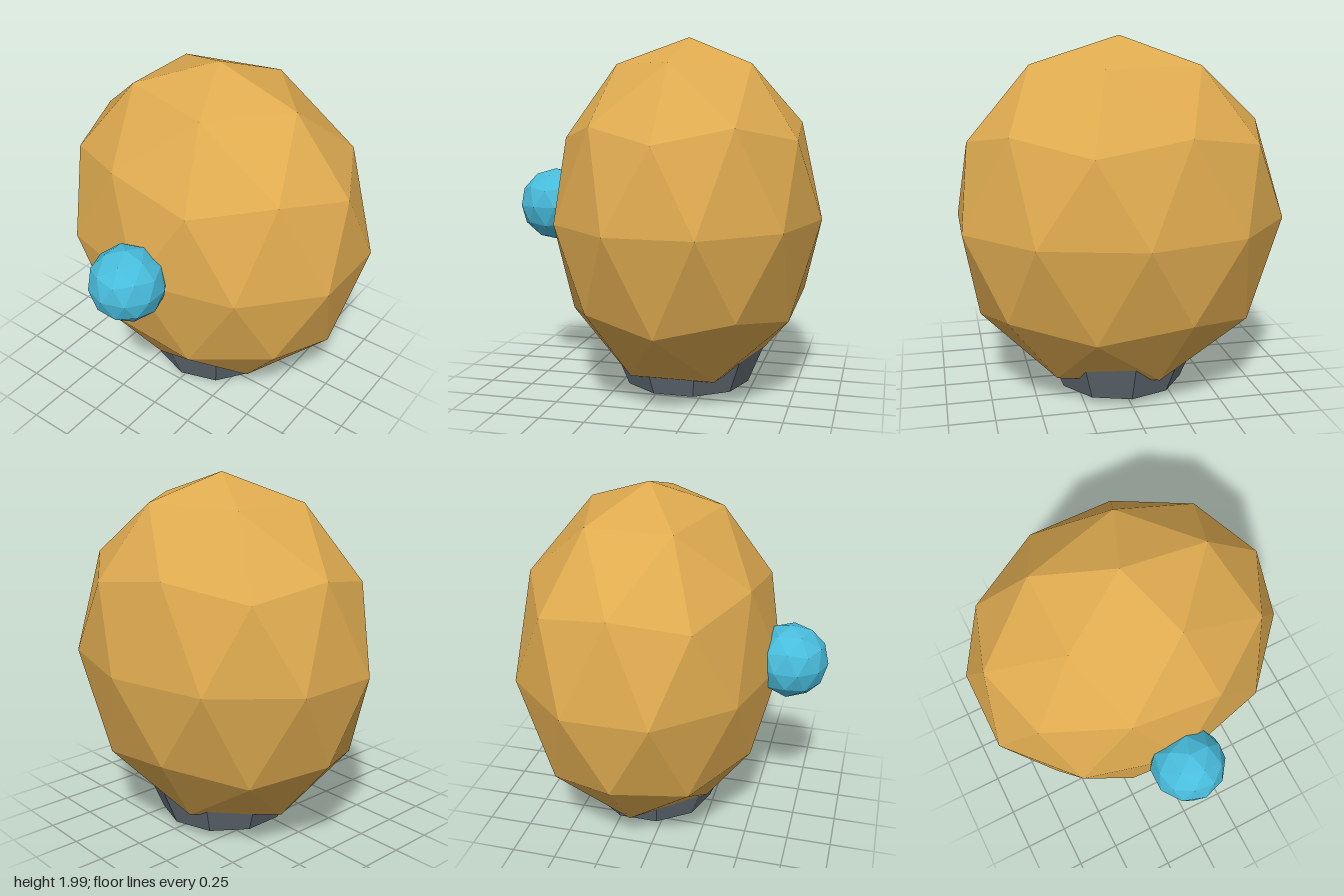
import * as THREE from 'three';

const flat = (color) => new THREE.MeshStandardMaterial({ color, flatShading: true });

// Faceted ball standing on one of its corners, with a neighbouring corner towards +x
function facetedBall(rx, ry, rz) {
  const geometry = new THREE.IcosahedronGeometry(1, 1);
  geometry.rotateZ(-Math.atan(2 / (1 + Math.sqrt(5))));
  geometry.scale(rx, ry, rz);
  return geometry;
}

export function createModel() {
  const model = new THREE.Group();
  model.name = 'model';

  function add(name, geometry, color, y, z) {
    const mesh = new THREE.Mesh(geometry, flat(color));
    mesh.name = name;
    mesh.position.set(0, y, z);
    model.add(mesh);
  }

  // Large egg-like body, flattened front to back
  add('body', facetedBall(0.928, 0.9975, 0.755), 0xdfab50, 1.0025, -0.13);

  // Small ball on the front
  add('nose', facetedBall(0.21, 0.21, 0.21), 0x48bcdc, 1.04, 0.675);

  // Ten-sided collar that flares up into the body
  const bottom = 0.045, top = 0.3;
  add('base', new THREE.CylinderGeometry(0.465, 0.36, top - bottom, 10), 0x66717a, (bottom + top) / 2, -0.125);

  return model;
}
